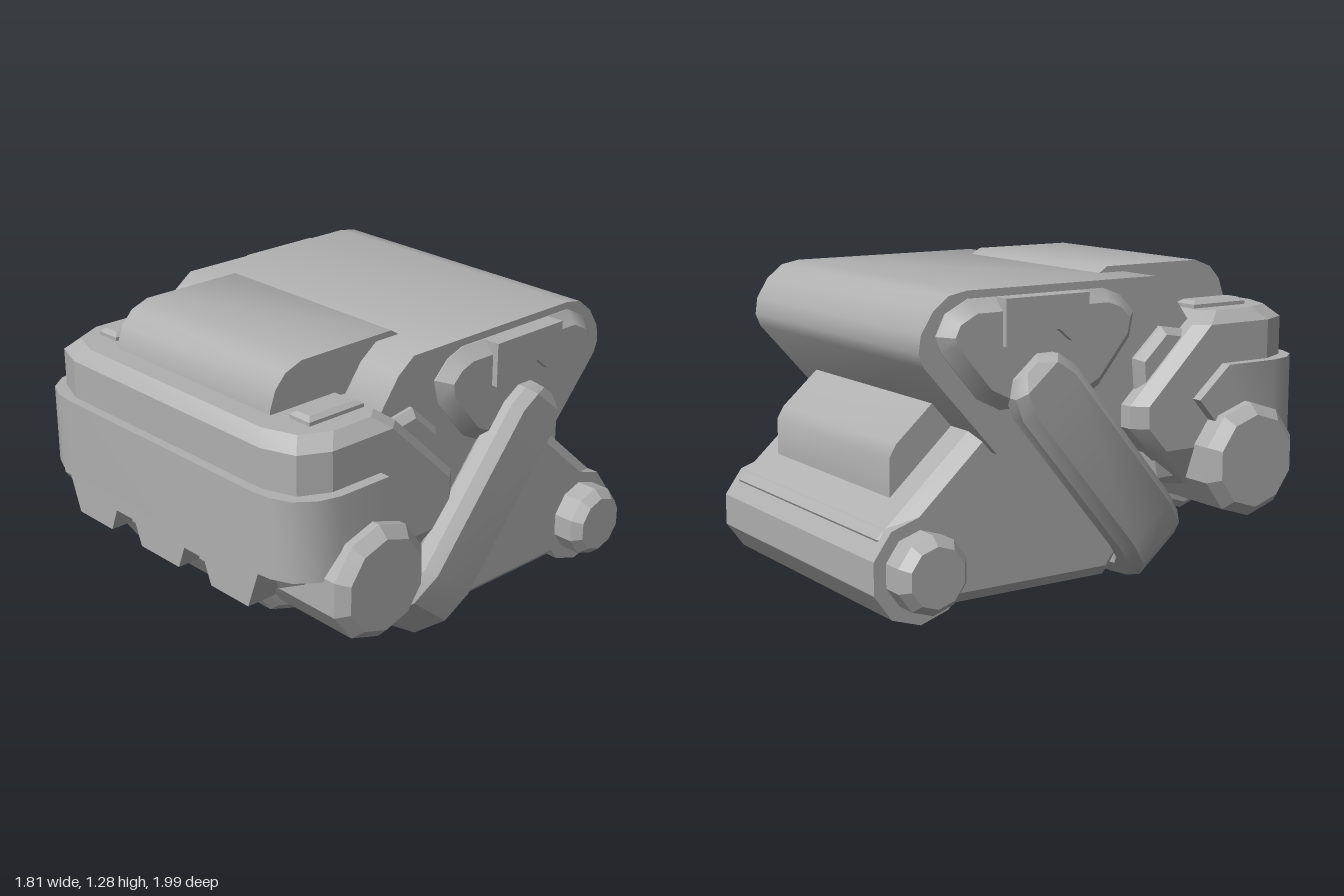
import * as THREE from 'three';
import { toCreasedNormals } from 'three/addons/utils/BufferGeometryUtils.js';

const V = (x, y, z) => new THREE.Vector3(x, y, z);

export function createModel() {
  const group = new THREE.Group();
  const grey = new THREE.MeshStandardMaterial({ color: 0xb0b0b0 });
  grey.name = 'grey metal';

  function add(name, geo, crease = 0.5) {
    const mesh = new THREE.Mesh(toCreasedNormals(geo, crease), grey);
    mesh.name = name;
    group.add(mesh);
    return mesh;
  }

  // Side profile of [z, y] points, extruded from x0 to x1 with chamfered ends
  function prismX(name, profile, x0, x1, bevel = 0, crease = 0.5) {
    const shape = new THREE.Shape(profile.map(([z, y]) => new THREE.Vector2(-z, y)));
    const geo = new THREE.ExtrudeGeometry(shape, {
      depth: x1 - x0 - 2 * bevel, bevelEnabled: bevel > 0, bevelThickness: bevel,
      bevelSize: bevel, bevelOffset: -bevel, bevelSegments: 1,
    });
    geo.rotateY(Math.PI / 2).translate(x0 + bevel, 0, 0);
    return add(name, geo, crease);
  }

  // Skin through equal-length rings of points, closed with flat ends
  function loft(name, rings, crease = 0.5) {
    const tris = [];
    const n = rings[0].length;
    for (let i = 0; i < rings.length - 1; i++) {
      for (let j = 0; j < n; j++) {
        const k = (j + 1) % n, a = rings[i], b = rings[i + 1];
        tris.push([a[j], a[k], b[k]], [a[j], b[k], b[j]]);
      }
    }
    const first = rings[0], last = rings[rings.length - 1];
    for (let j = 1; j < n - 1; j++) {
      tris.push([first[0], first[j + 1], first[j]], [last[0], last[j], last[j + 1]]);
    }
    // Turn the faces outward
    let volume = 0;
    for (const [a, b, c] of tris) volume += a.dot(b.clone().cross(c));
    if (volume < 0) tris.forEach((t) => t.reverse());
    const geo = new THREE.BufferGeometry().setFromPoints(tris.flat());
    return add(name, geo, crease);
  }

  // Faceted barrel along x from [x, radius] steps
  function barrel(name, y, z, sides, steps) {
    const rings = steps.map(([x, r]) => Array.from({ length: sides }, (_, i) => {
      const a = (i / sides) * Math.PI * 2 + Math.PI / 2;
      return V(x, y + r * Math.sin(a), z + r * Math.cos(a));
    }));
    loft(name, rings, 0.3);
  }

  // Plan outline with chamfered corners, at height y
  const plan = (y, hw, zf, zb, inset = 0) => {
    const h = hw - inset, f = zf - inset, b = zb + inset * 0.5;
    const half = [[h - 0.05, b], [h, b + 0.06], [h, f - 0.17], [h - 0.06, f - 0.05], [h - 0.2, f]];
    return [...half, ...half.map(([x, z]) => [-x, z]).reverse()].map(([x, z]) => V(x, y, z));
  };

  // Upper ankle block
  prismX('ankleBlock', [
    [0.28, 1.26], [0.36, 1.2], [0.47, 1.05], [0.47, 0.9], [0.2, 0.63], [-0.47, 0.63],
    [-0.79, 0.99], [-0.81, 1.04], [-0.8, 1.11], [-0.75, 1.19], [-0.68, 1.245], [-0.6, 1.26],
  ], -0.675, 0.675, 0, 0.7);

  // Lower body, back pad and heel
  prismX('lowerBody', [
    [0.1, 0.05], [0.22, 0.2], [0.36, 0.42], [0.36, 0.6], [0.3, 0.9], [-0.3, 0.9],
    [-0.55, 0.71], [-0.95, 0.35], [-0.85, 0.15], [-0.65, 0.05],
  ], -0.64, 0.64, 0.05);
  prismX('backPad', [
    [-0.4, 0.9], [-0.53, 0.89], [-0.62, 0.82], [-0.79, 0.67], [-0.82, 0.62], [-0.82, 0.46], [-0.5, 0.4],
  ], -0.47, 0.47, 0, 0.7);
  barrel('heelRoller', 0.215, -0.79, 10, [[-0.64, 0.21], [0.64, 0.21]]);
  barrel('heelBolts', 0.22, -0.79, 10, [[-0.77, 0.12], [-0.73, 0.155], [0.73, 0.155], [0.77, 0.12]]);

  // Hub plates and clips on both sides
  for (const s of [-1, 1]) {
    const side = s > 0 ? 'left' : 'right';
    const span = (a, b) => (s > 0 ? [a, b] : [-b, -a]);
    prismX(side + 'HubPlate', [
      [0.17, 1.13], [0.1, 1.2], [0.02, 1.23], [-0.6, 1.23], [-0.7, 1.18], [-0.74, 1.1],
      [-0.72, 1.04], [-0.56, 0.85], [-0.46, 0.8], [-0.1, 0.8], [0, 0.85], [0.15, 1.03],
    ], ...span(0.6, 0.73), 0.05);
    prismX(side + 'HubClip', [
      [-0.1, 1.23], [-0.48, 1.23], [-0.48, 1.05], [-0.4, 1.05], [-0.34, 1.1],
      [-0.24, 1.1], [-0.18, 1.05], [-0.1, 1.05],
    ], ...span(0.68, 0.755));
    // Raised vents on top of the toe
    loft(side + 'ToeVent', [[1.09, 0], [1.125, 0], [1.14, 0.02]].map(([y, i]) => [
      V(s * 0.59 - 0.055 + i, y, 0.51 + i), V(s * 0.59 + 0.055 - i, y, 0.51 + i),
      V(s * 0.59 + 0.055 - i, y, 0.78 - i), V(s * 0.59 - 0.055 + i, y, 0.78 - i),
    ]));
  }

  // Tilted U-shaped brace: chamfered section swept along a path of [x, along, half width]
  const halfPath = [
    [0.735, 0.985, 0.07], [0.735, 0.94, 0.125], [0.735, 0.85, 0.155], [0.735, 0.12, 0.155],
    [0.705, 0.02, 0.155], [0.63, -0.05, 0.155], [0.52, -0.065, 0.155],
  ];
  const path = [...halfPath, ...halfPath.map(([x, s, w]) => [-x, s, w]).reverse()];
  loft('braceStrap', path.map(([x, s, w], i) => {
    const p = path[Math.max(i - 1, 0)], q = path[Math.min(i + 1, path.length - 1)];
    const t = new THREE.Vector2(q[0] - p[0], q[1] - p[1]).normalize();
    const h = i === 0 || i === path.length - 1 ? 0.045 : 0.075, c = 0.04;
    return [[-w, h - c], [-w + c, h], [w - c, h], [w, h - c], [w, c - h], [w - c, -h], [c - w, -h], [-w, c - h]]
      .map(([a, b]) => {
        const u = 0.324 + a, along = s + b * t.x;
        return V(x - b * t.y, 0.64 * u + 0.77 * along, 0.77 * u - 0.64 * along);
      });
  }));

  // Toe link between ankle and toe
  prismX('toeLink', [
    [0.6, 1.04], [0.42, 1.04], [0.3, 1.06], [0.17, 0.94], [0.19, 0.7], [0.25, 0.42], [0.6, 0.42],
  ], -0.72, 0.72, 0.03);

  // Toe body with chamfered top edge
  loft('toeBody', [
    plan(0.41, 0.72, 0.85, 0.35), plan(0.57, 0.78, 0.94, 0.21), plan(0.67, 0.78, 0.96, 0.12),
    plan(0.76, 0.78, 0.96, 0.12), plan(1.06, 0.78, 0.96, 0.43), plan(1.11, 0.78, 0.96, 0.47, 0.05),
  ], 0.3);

  // Rounded hump on top of the toe
  prismX('toeHump', [
    [0.82, 1.09], [0.815, 1.13], [0.79, 1.2], [0.74, 1.255], [0.66, 1.285], [0.2, 1.285],
    [0.16, 1.26], [0.16, 1.09],
  ], -0.47, 0.47, 0, 0.7);

  // Bumper wrapping the toe, with pointed side tails and a notched skirt
  const bumperHalf = [[0.825, 0.55], [0.825, 0.79], [0.8, 0.88], [0.74, 0.955], [0.66, 0.99], [0.58, 1]];
  const bumper = [...bumperHalf, ...bumperHalf.map(([x, z]) => [-x, z]).reverse()];
  loft('bumper', [0.57, 0.9].map((y) => bumper.map(([x, z]) => V(x, y, z))), 0.7);
  prismX('bumperTails', [[0.6, 0.9], [0.55, 0.9], [0.4, 0.77], [0.55, 0.6], [0.6, 0.57]], -0.825, 0.825);
  const skirt = [
    [-0.6, 0.57], [-0.54, 0.41], [-0.32, 0.41], [-0.28, 0.51], [-0.16, 0.51], [-0.12, 0.41],
    [0.12, 0.41], [0.16, 0.51], [0.28, 0.51], [0.32, 0.41], [0.54, 0.41], [0.6, 0.57],
  ];
  const skirtGeo = new THREE.ExtrudeGeometry(
    new THREE.Shape(skirt.map(([x, y]) => new THREE.Vector2(x, y))), { depth: 0.13, bevelEnabled: false });
  add('bumperSkirt', skirtGeo.translate(0, 0, 0.87));

  // Toe axle with end wheels and a thicker middle
  barrel('toeWheels', 0.51, 0.635, 10, [[-0.905, 0.19], [-0.86, 0.235], [0.86, 0.235], [0.905, 0.19]]);
  barrel('toeAxle', 0.5, 0.635, 10, [[-0.46, 0.25], [-0.43, 0.28], [0.43, 0.28], [0.46, 0.25]]);

  return group;
}
